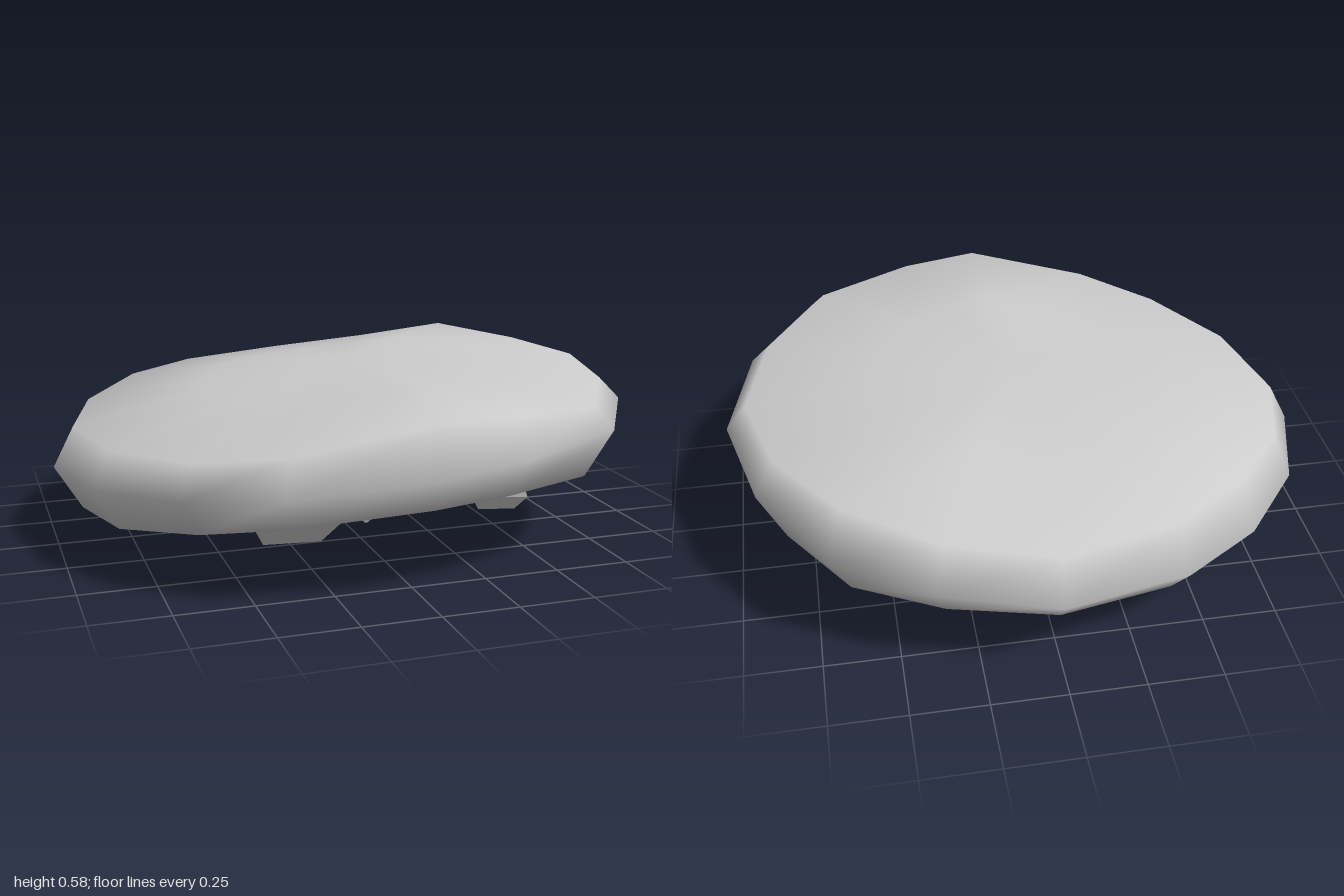
import * as THREE from 'three';
import { ConvexGeometry } from 'three/addons/geometries/ConvexGeometry.js';

const material = new THREE.MeshStandardMaterial({ color: 0xcccccc });

// Irregular rim outline as x, z, and the height of the upper shoulder at that corner
const OUTLINE = [
  [0.01, -0.96, 0.47], [0.39, -0.88, 0.51], [0.70, -0.72, 0.57], [0.91, -0.40, 0.55],
  [1.00, -0.04, 0.54], [0.91, 0.37, 0.53], [0.68, 0.75, 0.52], [0.32, 0.90, 0.54],
  [0.03, 0.95, 0.55], [-0.43, 0.86, 0.46], [-0.70, 0.67, 0.42], [-0.92, 0.36, 0.40],
  [-1.00, -0.03, 0.40], [-0.90, -0.37, 0.42], [-0.68, -0.65, 0.45], [-0.41, -0.84, 0.46],
];
const TOP = 0.585;

const underside = (x, z) => 0.175 + 0.066 * x + 0.035 * z + 0.1 * z * z;
const rimHeight = (x, z) => 0.36 + 0.095 * x + 0.035 * z;

// Tilted slab: rings from the underside, round the rim, to the upper face
function createSlab() {
  const rings = [
    [0.5, underside],
    [0.91, underside],
    [1, rimHeight],
    [0.93, (x, z, shoulder) => shoulder],
    [0.5, (x, z, shoulder) => THREE.MathUtils.lerp(TOP, shoulder, 0.5) + 0.005],
  ];
  const n = OUTLINE.length;
  const points = [];
  const index = [];
  for (const [scale, height] of rings) {
    for (const [px, pz, shoulder] of OUTLINE) {
      const x = px * scale, z = pz * scale;
      points.push(new THREE.Vector3(x, height(x, z, shoulder), z));
    }
  }
  const bottom = points.push(new THREE.Vector3(0, underside(0, 0), 0)) - 1;
  const top = points.push(new THREE.Vector3(0.02, TOP, -0.05)) - 1;
  const last = (rings.length - 1) * n;
  for (let i = 0; i < n; i++) {
    const j = (i + 1) % n;
    index.push(bottom, i, j, last + j, last + i, top);
    for (let r = 0; r < last; r += n) {
      index.push(r + j, r + i, r + n + i, r + j, r + n + i, r + n + j);
    }
  }
  const geometry = new THREE.BufferGeometry().setFromPoints(points);
  geometry.setIndex(index);
  geometry.computeVertexNormals();
  const slab = new THREE.Mesh(geometry, material);
  slab.name = 'stoneSlab';
  return slab;
}

// Faceted wedge with its keel along z and its lowest edge at y = 0
function createPebbleGeometry() {
  const section = [[0, 0, 0.09], [-0.12, 0.10, 0.135], [0.105, 0.09, 0.135], [-0.13, 0.21, 0.10], [0.115, 0.22, 0.10]];
  const points = [];
  for (const [x, y, half] of section) {
    points.push(new THREE.Vector3(x, y, half + 0.01), new THREE.Vector3(x, y, -half));
  }
  return new ConvexGeometry(points);
}

export function createModel() {
  const model = new THREE.Group();
  model.name = 'floatingStone';
  model.add(createSlab());

  // Pebbles under the slab: x, lowest y, z, turn about y, size
  const pebble = createPebbleGeometry();
  const pebbles = [
    [0.07, 0.00, 0.01, 0, 1],
    [-0.30, 0.07, 0.43, 1.45, 1],
    [-0.55, 0.05, 0.01, 0.6, 0.66],
    [0.34, 0.18, 0.61, 1.3, 0.62],
    [0.54, 0.11, 0.01, 0, 0.76],
    [0.13, 0.09, -0.48, 1.6, 0.7],
    [-0.37, 0.07, -0.48, 1.2, 0.7],
  ];
  pebbles.forEach(([x, y, z, turn, size], i) => {
    const mesh = new THREE.Mesh(pebble, material);
    mesh.name = `pebble${i + 1}`;
    mesh.position.set(x, y, z);
    mesh.rotation.y = turn;
    mesh.scale.setScalar(size);
    model.add(mesh);
  });
  return model;
}
